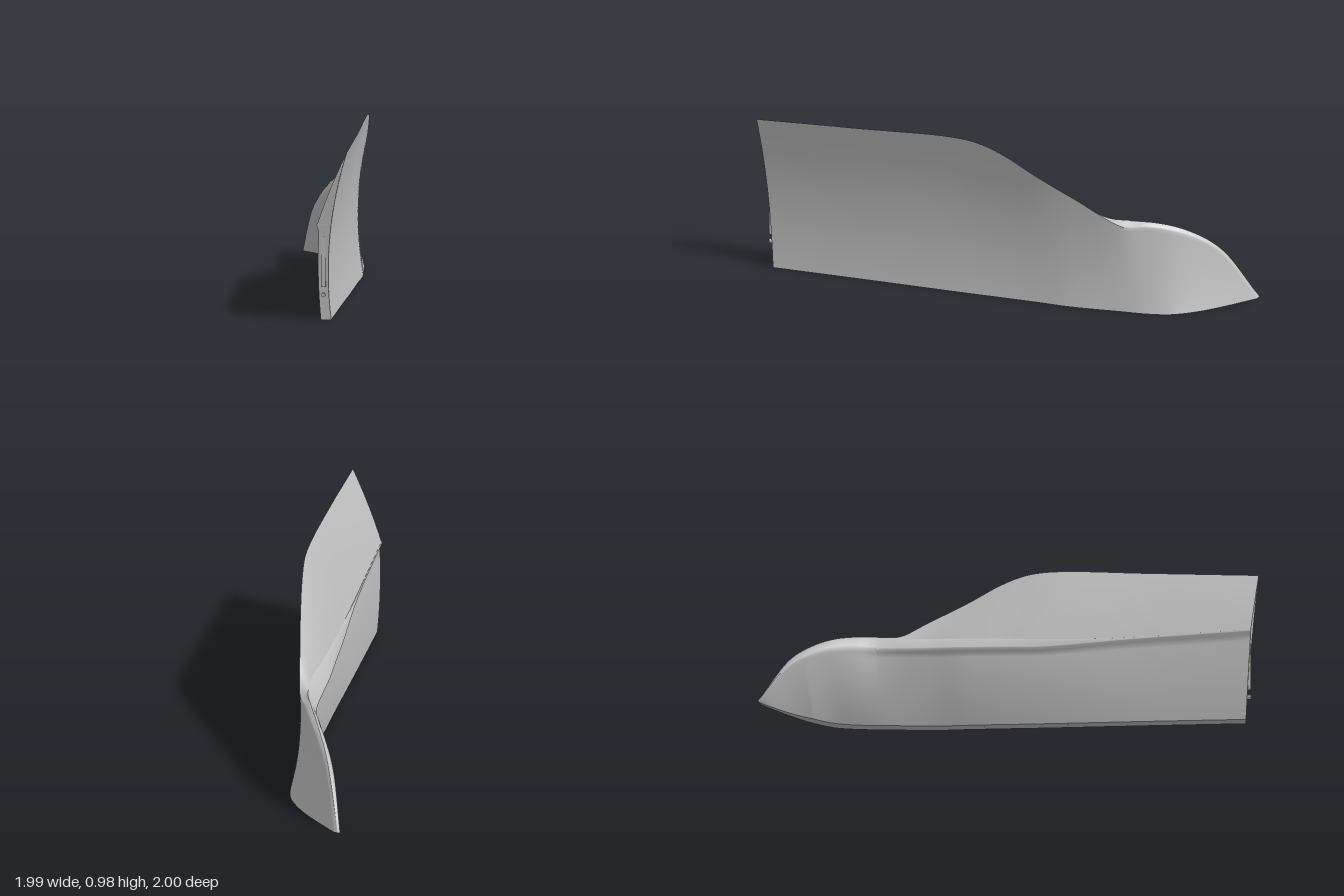
import * as THREE from 'three';

const panelGrey = new THREE.MeshStandardMaterial({ color: 0xc0c0c0 });
panelGrey.name = 'panelGrey';

// Guide curves run from the tall left end to the low pointed tip; every curve has the same stations.
const guide = (pts) => new THREE.CatmullRomCurve3(pts.map((p) => new THREE.Vector3(...p)), false, 'centripetal');

const rail = guide([
  [-0.93, 0.935, 1.0], [-0.45, 0.962, 0.66], [-0.02, 0.981, 0.345], [0.1, 0.96, 0.255], [0.2, 0.9, 0.165],
  [0.33, 0.78, 0.035], [0.47, 0.655, -0.115], [0.65, 0.495, -0.315], [0.71, 0.486, -0.42],
  [0.783, 0.452, -0.55], [0.853, 0.37, -0.705], [0.9, 0.28, -0.805], [0.99, 0, -0.97],
]);
const shoulder = guide([
  [-0.998, 0.53, 0.843], [-0.485, 0.495, 0.474], [-0.05, 0.498, 0.15], [0.07, 0.502, 0.065], [0.18, 0.506, -0.015],
  [0.315, 0.51, -0.108], [0.455, 0.515, -0.2], [0.64, 0.518, -0.37], [0.705, 0.5, -0.47],
  [0.778, 0.456, -0.6], [0.846, 0.375, -0.73], [0.896, 0.285, -0.825], [0.985, 0.003, -0.99],
]);
const belt = guide([
  [-1, 0.522, 0.84], [-0.49, 0.485, 0.468], [-0.085, 0.437, 0.147], [0.035, 0.435, 0.05], [0.14, 0.433, -0.035],
  [0.275, 0.43, -0.145], [0.41, 0.428, -0.245], [0.615, 0.425, -0.41], [0.69, 0.415, -0.52],
  [0.765, 0.38, -0.65], [0.83, 0.315, -0.77], [0.88, 0.235, -0.855], [0.975, 0.001, -1],
]);
const innerSill = guide([
  [-0.93, 0, 0.885], [-0.47, 0, 0.555], [-0.075, 0, 0.275], [0.05, 0, 0.185], [0.16, 0, 0.105],
  [0.3, 0, 0.005], [0.45, 0, -0.1], [0.67, 0, -0.285], [0.77, 0, -0.37],
  [0.86, 0, -0.47], [0.915, 0, -0.59], [0.95, 0, -0.72], [0.99, 0, -0.96],
]);

const outward = new THREE.Vector3(-0.57, 0, -0.82);
const mix = (a, b, v) => a.clone().lerp(b, v);
const hump = (v) => 4 * v * (1 - v);
const taper = (u) => Math.min(1, (1 - u) * 6);

// Surfaces of the shell, u along the panel and v around its section
const outerSill = (u) => innerSill.getPoint(u).addScaledVector(new THREE.Vector3(-0.037, 0, -0.043), 0.3 + 0.7 * taper(u));
const innerWall = (u, v) => {
  const top = rail.getPoint(u);
  return mix(innerSill.getPoint(u), top, v).addScaledVector(outward, 0.05 * (top.y / 0.93) ** 2 * hump(v));
};
const upperWall = (u, v) => {
  const p = mix(rail.getPoint(u), shoulder.getPoint(u), v).addScaledVector(outward, 0.008 * taper(u) * hump(v));
  p.y += 0.01 * THREE.MathUtils.smoothstep(u, 0.58, 0.68) * taper(u) * hump(v);
  return p;
};
const lowerWall = (u, v) => {
  const edge = belt.getPoint(u);
  if (v <= 0.3) {
    const p = mix(shoulder.getPoint(u), edge, v / 0.3);
    p.y += 0.008 * taper(u) * hump(v / 0.3);
    return p;
  }
  // Undercut below the belt line, fading towards the tip
  const cut = 1 - THREE.MathUtils.smoothstep(u, 0.45, 0.75);
  const w = (v - 0.3) / 0.7;
  return mix(edge, outerSill(u), w)
    .addScaledVector(outward, 0.01 * taper(u) * hump(w) - 0.014 * cut * Math.min(1, w * 14) * (1 - w));
};
const sillFace = (u, v) => mix(outerSill(u), innerSill.getPoint(u), v);
const endFace = (u, v) => {
  const outer = v < 0.55 ? lowerWall(0, 1 - v / 0.55) : upperWall(0, 1 - (v - 0.55) / 0.45);
  return mix(outer, innerWall(0, outer.y / 0.935), u);
};
// Rounded tail: inner wall, crown and outer wall in one smooth sweep
const tailWall = (u, v) => {
  if (v <= 0.4) return innerWall(u, v / 0.4);
  return v <= 0.55 ? upperWall(u, (v - 0.4) / 0.15) : lowerWall(u, (v - 0.55) / 0.45);
};

// Smooth grid mesh over a surface function between two places along the panel
function skin(name, surface, nu, nv, from = 0, to = 1) {
  const pos = [], idx = [];
  for (let i = 0; i <= nu; i++) {
    for (let j = 0; j <= nv; j++) pos.push(...surface(from + ((to - from) * i) / nu, j / nv).toArray());
  }
  for (let i = 0; i < nu; i++) {
    for (let j = 0; j < nv; j++) {
      const a = i * (nv + 1) + j, b = a + nv + 1;
      idx.push(a, b, b + 1, a, b + 1, a + 1);
    }
  }
  const g = new THREE.BufferGeometry();
  g.setAttribute('position', new THREE.Float32BufferAttribute(pos, 3));
  g.setIndex(idx);
  g.computeVertexNormals();
  const mesh = new THREE.Mesh(g, panelGrey);
  mesh.name = name;
  return mesh;
}

export function createModel() {
  const model = new THREE.Group();
  model.name = 'bodySidePanel';
  const tailStart = 7 / 12;
  model.add(
    skin('innerWall', innerWall, 84, 16, 0, tailStart),
    skin('upperOuterWall', upperWall, 84, 10, 0, tailStart),
    skin('shoulderAndLowerWall', lowerWall, 84, 40, 0, tailStart),
    skin('tailWall', tailWall, 60, 60, tailStart, 1),
    skin('sillFace', sillFace, 144, 1),
    skin('endFace', endFace, 1, 80),
  );

  // Latch plate and bolts on the tall end
  const latch = new THREE.Group();
  latch.name = 'latch';
  latch.position.set(-0.97, 0, 0.863);
  latch.rotation.y = -0.963;
  const plate = new THREE.Mesh(new THREE.BoxGeometry(0.025, 0.27, 0.024), panelGrey);
  plate.name = 'latchPlate';
  plate.position.y = 0.32;
  latch.add(plate);
  for (const y of [0.14, 0.45, 0.53]) {
    const bolt = new THREE.Mesh(new THREE.CylinderGeometry(0.012, 0.012, 0.026, 16), panelGrey);
    bolt.name = 'latchBolt';
    bolt.rotation.x = Math.PI / 2;
    bolt.position.y = y;
    latch.add(bolt);
  }
  model.add(latch);

  // Small fasteners along the sill
  for (const u of [0.02, 0.15, 0.38, 0.62]) {
    const screw = new THREE.Mesh(new THREE.CylinderGeometry(0.009, 0.009, 0.004, 12), panelGrey);
    screw.name = 'sillScrew';
    screw.position.copy(sillFace(u, 0.5));
    screw.position.y = 0.001;
    model.add(screw);
  }
  return model;
}
